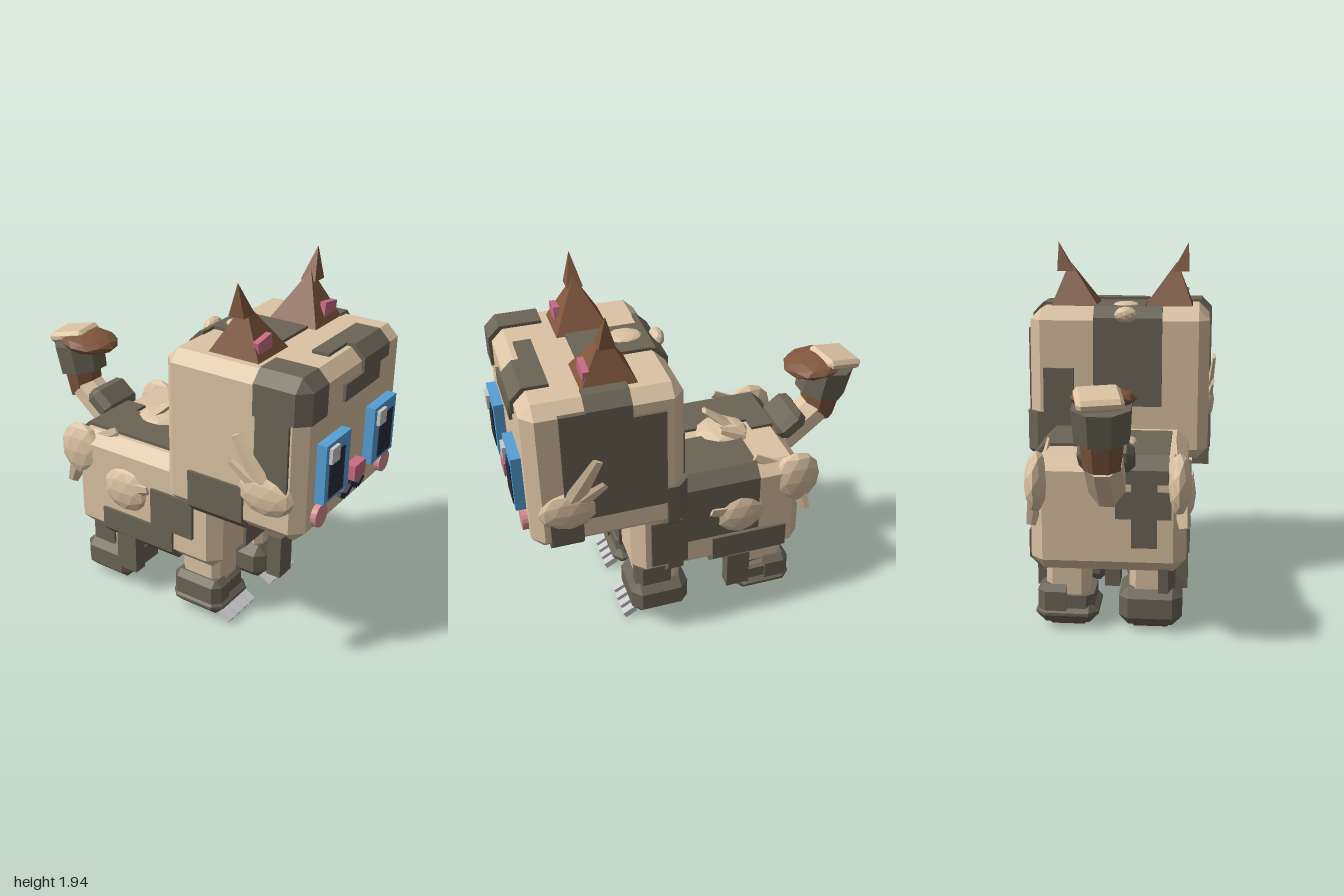
import * as THREE from 'three';
import { ConvexGeometry } from 'three/addons/geometries/ConvexGeometry.js';

const mat = (name, color) => {
  const m = new THREE.MeshStandardMaterial({ color });
  m.name = name;
  return m;
};
const V = (x, y, z) => new THREE.Vector3(x, y, z);

export function createModel() {
  const tan = mat('tan fur', 0xdcc3a3), dark = mat('dark fur', 0x6b6556), brown = mat('brown fur', 0x7f573d);
  const pink = mat('pink', 0xc96c86), cheekPink = mat('cheek pink', 0xd68f8f), blue = mat('eye blue', 0x56a0d8);
  const navy = mat('navy', 0x2b2b3d), grey = mat('light grey', 0xcacacc);
  const model = new THREE.Group();

  const add = (name, geo, material, parent = model) => {
    const m = new THREE.Mesh(geo, material);
    m.name = name;
    parent.add(m);
    return m;
  };
  const group = (name) => {
    const g = new THREE.Group();
    g.name = name;
    model.add(g);
    return g;
  };
  const flat = (geo) => {
    const g = geo.index ? geo.toNonIndexed() : geo;
    g.computeVertexNormals();
    return g;
  };

  // Chamfered box [x0,x1,y0,y1,z0,z1], grown by e and cut to a region
  const F = 9;
  const ALL = [-F, F, -F, F, -F, F];
  function block(b, c, e = 0, region = ALL) {
    const mid = [0, 2, 4].map((i) => (b[i] + b[i + 1]) / 2);
    const half = [0, 2, 4].map((i) => (b[i + 1] - b[i]) / 2 + e);
    const planes = [];
    for (let x = -1; x <= 1; x++) for (let y = -1; y <= 1; y++) for (let z = -1; z <= 1; z++) {
      const n = [x, y, z], k = Math.abs(x) + Math.abs(y) + Math.abs(z);
      if (k) planes.push([V(x, y, z), n.reduce((s, v, i) => s + Math.abs(v) * half[i] + v * mid[i], 0) - c * (k - 1)]);
    }
    [V(1, 0, 0), V(0, 1, 0), V(0, 0, 1)].forEach((n, i) => {
      planes.push([n.clone(), region[2 * i + 1]], [n.clone().negate(), -region[2 * i]]);
    });
    const points = new Map();
    const n = planes.length, bc = V(0, 0, 0);
    for (let i = 0; i < n; i++) for (let j = i + 1; j < n; j++) for (let k = j + 1; k < n; k++) {
      const [A, B, C] = [planes[i], planes[j], planes[k]];
      bc.crossVectors(B[0], C[0]);
      const det = A[0].dot(bc);
      if (Math.abs(det) < 1e-6) continue;
      const p = bc.clone().multiplyScalar(A[1])
        .add(V(0, 0, 0).crossVectors(C[0], A[0]).multiplyScalar(B[1]))
        .add(V(0, 0, 0).crossVectors(A[0], B[0]).multiplyScalar(C[1])).divideScalar(det);
      if (planes.every(([m, d]) => m.dot(p) <= d + 1e-6)) {
        points.set([p.x, p.y, p.z].map((v) => Math.round(v * 1e4)).join(), p);
      }
    }
    return new ConvexGeometry([...points.values()]);
  }
  const box = (name, x0, x1, y0, y1, z0, z1, material, parent) => {
    const m = add(name, new THREE.BoxGeometry(x1 - x0, y1 - y0, z1 - z0), material, parent);
    m.position.set((x0 + x1) / 2, (y0 + y1) / 2, (z0 + z1) / 2);
    return m;
  };
  // Faceted fur puff
  const puff = (name, pos, size, material = tan, parent = model) => {
    const m = add(name, flat(new THREE.IcosahedronGeometry(1, 1).scale(...size)), material, parent);
    m.position.set(...pos);
    return m;
  };
  // Pointed fur lock from a to b, flattened along one axis
  const lock = (a, b, w, t, parent, material = tan) => {
    const A = V(...a), d = V(...b).sub(A);
    const m = add('furLock', flat(new THREE.CylinderGeometry(w * 0.5, w, d.length(), 5).scale(1, 1, t / w)), material, parent);
    m.position.copy(A).addScaledVector(d, 0.5);
    m.quaternion.setFromUnitVectors(V(0, 1, 0), d.normalize());
    return m;
  };

  // Head with wrapped dark patches
  const head = group('head');
  const headBox = [-0.5, 0.5, 0.745, 1.585, 0.135, 0.93];
  add('headBlock', block(headBox, 0.06), tan, head);
  [
    [-F, -0.315, 1.38, F, 0.665, F], [0.04, 0.31, 1.47, F, 0.755, F],
    [-0.14, 0.22, 1.38, 1.47, 0.85, F], [-0.14, 0.31, 1.5, F, 0.755, 0.845],
    [0.45, F, 0.92, 1.47, 0.24, 0.76], [0.45, F, 1.47, 1.535, 0.41, 0.76], [0.395, F, 1.47, F, 0.405, 0.63],
    [0.4, F, -F, 0.99, 0.675, 0.84], [0.25, F, -F, 1.01, -F, 0.24], [0.25, 0.42, 1, 1.26, -F, 0.24],
    [-0.14, 0.13, 1.5, F, -F, 0.58], [-0.24, 0.14, 1.05, F, -F, 0.2],
    [-F, -0.45, -F, 0.98, 0.3, 0.62], [-F, -0.45, 0.95, 1.38, 0.68, 0.86],
  ].forEach((r) => add('headPatch', block(headBox, 0.06, 0.016, r), dark, head));
  box('headTassel', -0.515, -0.41, 0.56, 0.78, 0.77, 0.845, dark, head);

  // Face
  const face = group('face');
  for (const s of [-1, 1]) {
    const cx = s * 0.248;
    box('eye', cx - 0.12, cx + 0.12, 0.94, 1.25, 0.92, 0.982, blue, face);
    box('pupil', s * 0.26 - 0.073, s * 0.26 + 0.073, 0.96, 1.19, 0.978, 0.987, navy, face);
    const hx = s < 0 ? -0.303 : 0.192;
    box('eyeGlint', hx - 0.038, hx + 0.038, 1.15, 1.23, 0.98, 1.0, grey, face);
    const cheek = add('cheek', flat(new THREE.CylinderGeometry(0.06, 0.06, 0.04, 18)), cheekPink, face);
    cheek.rotation.x = Math.PI / 2;
    cheek.position.set(s * 0.34, 0.865, 0.94);
    for (const [x, y, tilt] of [[0.03, 0.858, -0.5], [0.097, 0.855, 0.5]]) {
      const line = add('mouthLine', new THREE.BoxGeometry(0.065, 0.027, 0.03), navy, face);
      line.position.set(s * x, y, 0.935);
      line.rotation.z = s * tilt;
    }
  }
  box('mouthStem', -0.015, 0.015, 0.86, 0.94, 0.92, 0.95, navy, face);
  box('nose', -0.058, 0.058, 0.93, 1.01, 0.92, 0.985, pink, face);

  // Ears
  const pyramid = (x0, x1, z0, z1, y, apex, s) => new ConvexGeometry([
    V(s * x0, y, z0), V(s * x1, y, z0), V(s * x0, y, z1), V(s * x1, y, z1), V(s * apex[0], apex[1], apex[2])]);
  for (const s of [-1, 1]) {
    const ear = group(s > 0 ? 'leftEar' : 'rightEar');
    add('earBase', pyramid(0.12, 0.41, 0.335, 0.635, 1.565, [0.31, 1.83, 0.485], s), brown, ear);
    add('earTip', pyramid(0.285, 0.38, 0.44, 0.525, 1.775, [0.375, 1.94, 0.485], s), brown, ear);
    const inner = add('innerEar', new THREE.BoxGeometry(0.12, 0.09, 0.032), pink, ear);
    inner.position.set(s * 0.315, 1.637, 0.59);
    inner.rotation.z = -s * 0.15;
  }

  // Body with wrapped dark patches
  const body = group('body');
  const bodyBox = [-0.395, 0.395, 0.325, 0.92, -0.57, 0.395];
  add('bodyBlock', block(bodyBox, 0.065), tan, body);
  [
    [0.035, F, 0.535, F, -0.305, 0.13], [0.3, F, 0.41, 0.7, 0.1, 0.3], [0.25, F, -F, 0.515, -0.47, -0.045],
    [0.3, F, -F, 0.43, 0.125, 0.21], [-0.13, 0.13, -F, 0.62, 0.2, F],
    [-0.305, -0.045, 0.8, F, -0.4, 0.03], [-0.305, 0.04, 0.8, F, -F, -0.395],
    [-0.25, -0.12, 0.47, F, -F, -0.5], [-0.32, -0.04, 0.62, 0.76, -F, -0.5],
    [-F, -0.25, -F, 0.5, -0.35, 0.12], [-F, -0.34, 0.5, 0.72, -0.02, 0.25],
  ].forEach((r) => add('bodyPatch', block(bodyBox, 0.065, 0.016, r), dark, body));
  box('bellyTassel', -0.04, 0.04, 0.14, 0.36, -0.265, -0.13, dark, body);
  for (const s of [-1, 1]) box('sideTassel', s * 0.365 - 0.038, s * 0.365 + 0.038, 0.14, 0.36, -0.265, -0.135, dark, body);

  // Legs, two with high socks and two with low cuffs
  for (const [x, z, high] of [[0.215, 0.235, 1], [-0.215, 0.235, 0], [0.215, -0.38, 0], [-0.215, -0.38, 1]]) {
    const front = z > 0;
    const leg = group((front ? 'front' : 'back') + (x > 0 ? 'Left' : 'Right') + 'Leg');
    const legBox = [x - 0.11, x + 0.11, 0.06, 0.38, z - 0.12, z + 0.12];
    add('shin', block(legBox, 0.035), tan, leg);
    add('sock', block([x - 0.163, x + 0.163, 0.025, high ? 0.23 : 0.14, z - 0.16, z + 0.165], 0.05), dark, leg);
    add('pawPad', block([x - 0.11, x + 0.11, 0, 0.06, z - 0.1, z + 0.1], 0.025), brown, leg);
    const s = Math.sign(x);
    if (high) {
      const r = s > 0 ? [x + 0.04, F, 0.2, F, z - 0.06, F] : [-F, x - 0.04, 0.2, F, -F, z + 0.04];
      add('legPatch', block(legBox, 0.035, 0.015, r), dark, leg);
    } else {
      const cuff = [x - 0.14, x + 0.14, 0.06, 0.23, z - 0.14, z + 0.14];
      add('cuff', block(cuff, 0.04, 0, [-F, F, 0.1, 0.18, -F, F]), dark, leg);
      add('cuffPatch', block(cuff, 0.04, 0.012, s > 0
        ? [x, F, 0.1, 0.235, -F, z] : [-F, x - 0.04, 0.1, 0.235, -F, F]), dark, leg);
      add('cuffPatch', block(cuff, 0.04, 0, [x - 0.015, x + 0.11, 0.1, 0.23, z, F]), dark, leg);
    }
    if (front) for (let i = 0; i < 4; i++) {
      const claw = add('claw', new THREE.BoxGeometry(0.043, 0.036, 0.075), grey, leg);
      claw.position.set(x + (i - 1.5) * 0.066, 0.037, 0.415);
      claw.rotation.x = 0.5;
    }
  }

  // Fur puffs on both sides
  for (const s of [-1, 1]) {
    const fur = group(s > 0 ? 'leftFur' : 'rightFur');
    const side = (pos, size) => puff('furPuff', [s * pos[0], pos[1], pos[2]], size, tan, fur);
    const spike = (a, b, w) => lock([s * a[0], a[1], a[2]], [s * b[0], b[1], b[2]], w, w, fur).scale.set(0.35, 1, 1);
    side([0.495, 0.98, 0.74], [0.045, 0.115, 0.155]);
    spike([0.51, 1.04, 0.72], [0.535, 1.27, 0.59], 0.06);
    spike([0.51, 1.02, 0.7], [0.53, 1.12, 0.56], 0.05);
    side([0.385, 0.65, -0.2], [0.055, 0.13, 0.15]);
    spike([0.4, 0.67, -0.15], [0.42, 0.71, -0.03], 0.05);
    side([0.36, 0.79, -0.53], [0.06, 0.16, 0.14]);
    spike([0.36, 0.72, -0.54], [0.38, 0.58, -0.59], 0.06);
    spike([0.34, 0.85, -0.45], [0.33, 0.95, -0.3], 0.05);
  }

  // Fur on chest, back and crown
  const tufts = group('middleFur');
  puff('chestPuff', [-0.01, 0.63, 0.375], [0.17, 0.15, 0.07], tan, tufts);
  lock([-0.08, 0.68, 0.4], [-0.17, 0.78, 0.42], 0.06, 0.025, tufts);
  lock([0.06, 0.68, 0.4], [0.13, 0.78, 0.42], 0.06, 0.025, tufts);
  puff('backPuff', [0, 0.92, -0.23], [0.14, 0.05, 0.15], tan, tufts);
  lock([-0.02, 0.92, -0.3], [-0.04, 1.05, -0.14], 0.07, 0.03, tufts);
  lock([0.07, 0.92, -0.32], [0.1, 1.0, -0.18], 0.06, 0.03, tufts);
  puff('crownPuff', [-0.03, 1.597, 0.3], [0.075, 0.022, 0.095], tan, tufts);
  puff('napePuff', [-0.04, 1.56, 0.125], [0.065, 0.045, 0.04], tan, tufts);

  // Tail
  const tail = group('tail');
  const segment = (name, a, b, r0, r1, material) => {
    const A = V(0, ...a), d = V(0, ...b).sub(A);
    const m = add(name, flat(new THREE.CylinderGeometry(r1, r0, d.length(), 8).rotateY(Math.PI / 8)), material, tail);
    m.position.copy(A).addScaledVector(d, 0.5);
    m.quaternion.setFromUnitVectors(V(0, 1, 0), d.normalize());
  };
  segment('tailRoot', [0.74, -0.5], [0.98, -0.79], 0.1, 0.1, tan);
  const saddle = add('tailPatch', block([-0.14, 0.14, -0.04, 0.08, -0.09, 0.09], 0.035), dark, tail);
  saddle.position.set(0, 0.93, -0.615);
  saddle.rotation.x = 0.68;
  segment('tailMiddle', [0.94, -0.8], [1.12, -0.825], 0.095, 0.115, brown);
  segment('tailBand', [1.085, -0.81], [1.245, -0.84], 0.14, 0.15, dark);
  puff('tailTip', [0, 1.265, -0.755], [0.16, 0.055, 0.17], brown, tail).rotation.x = 0.08;
  const flap = add('tailFlap', block([-0.11, 0.11, -0.03, 0.03, -0.11, 0.11], 0.02), tan, tail);
  flap.position.set(0.01, 1.285, -0.88);
  flap.rotation.set(-0.2, 0.2, 0);

  return model;
}
